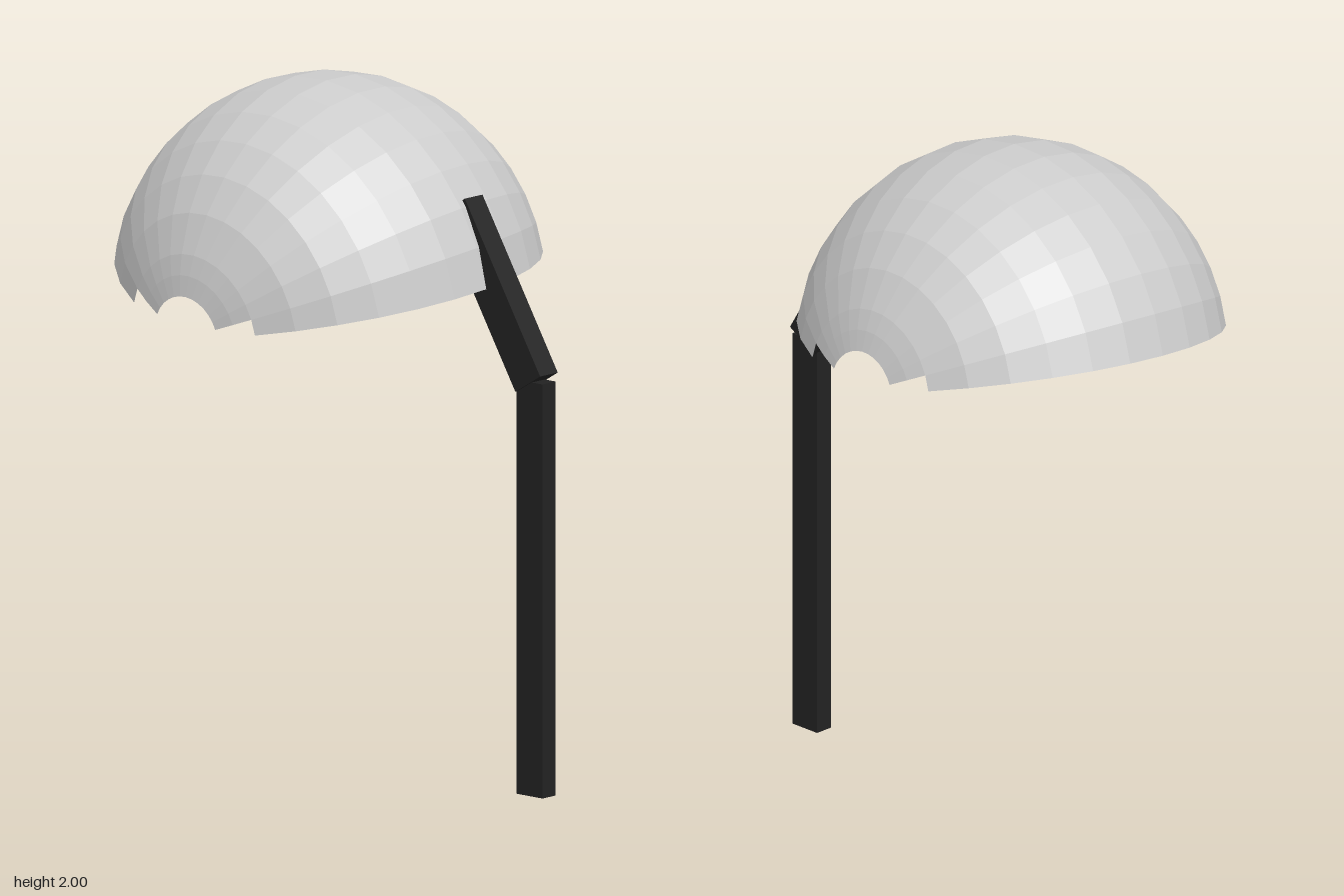
import * as THREE from 'three';
import { mergeGeometries } from 'three/addons/utils/BufferGeometryUtils.js';

const deg = THREE.MathUtils.degToRad;
const RADIUS = 0.62;
const STEP = 180 / 16; // angle of one facet
const FRONT_RIM = 7.4; // how far the front rim sits above the horizontal

// Faceted strip of the dome: rings counted from one pole, trimmed by `trim` facets at both rims
function domeBand(firstRing, rings, trim) {
  const segments = 14 - 2 * trim;
  const start = 90 - FRONT_RIM - (14 - trim) * STEP;
  return new THREE.SphereGeometry(
    RADIUS, segments, rings,
    deg(start), deg(segments * STEP),
    deg(firstRing * STEP), deg(rings * STEP)
  );
}

export function createModel() {
  const model = new THREE.Group();

  // Thin dome with its poles at the sides; open pole holes with a stepped notch beside each
  const domeGeometry = mergeGeometries([
    domeBand(2, 12, 0),
    domeBand(1, 1, 1),
    domeBand(14, 1, 1),
  ]);
  domeGeometry.rotateZ(-Math.PI / 2);
  const dome = new THREE.Mesh(domeGeometry, new THREE.MeshStandardMaterial({
    color: 0xcccccc, flatShading: true, side: THREE.DoubleSide,
  }));
  dome.name = 'dome';
  dome.position.set(0, 1.38, -0.115);
  dome.rotation.z = deg(5.2);
  model.add(dome);

  const dark = new THREE.MeshStandardMaterial({ color: 0x222222, flatShading: true });

  // Upright post
  const post = new THREE.Mesh(new THREE.BoxGeometry(0.056, 1.21, 0.1), dark);
  post.name = 'post';
  post.position.set(0.028, 0.605, 0.66);
  model.add(post);

  // Slanted arm from the post top into the dome
  const armLength = 0.56;
  const armGeometry = new THREE.BoxGeometry(0.075, armLength, 0.112);
  armGeometry.translate(0, armLength / 2, 0);
  const arm = new THREE.Mesh(armGeometry, dark);
  arm.name = 'arm';
  arm.position.set(0.03, 1.205, 0.66);
  arm.rotation.x = -deg(31.3);
  model.add(arm);

  return model;
}
